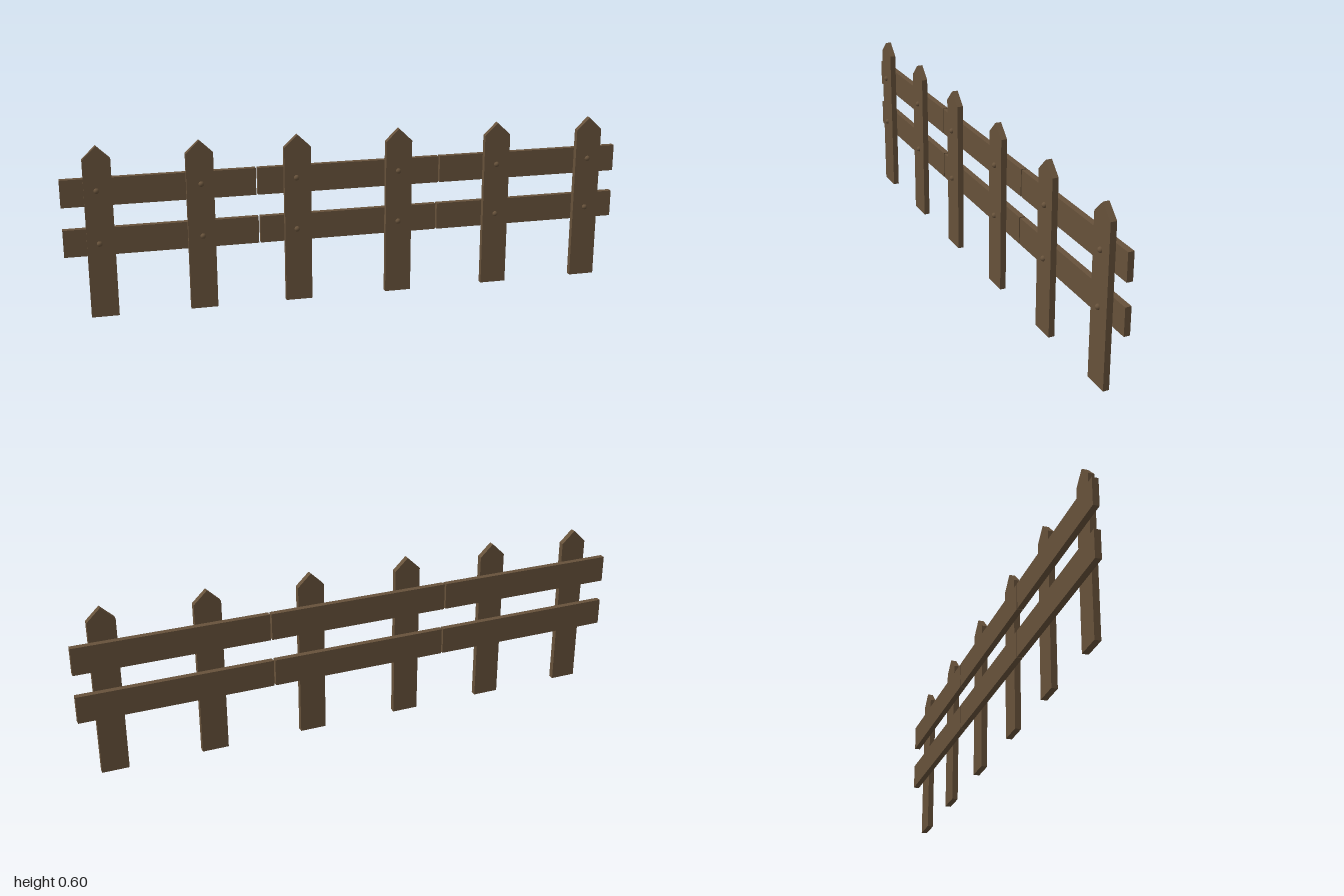
import * as THREE from 'three';

export function createModel() {
  const fence = new THREE.Group();
  fence.name = 'picketFence';
  const wood = new THREE.MeshStandardMaterial({ color: 0x66513a });
  wood.name = 'brown wood';

  const add = (name, geometry, x, y, z) => {
    const mesh = new THREE.Mesh(geometry, wood);
    mesh.name = name;
    mesh.position.set(x, y, z);
    fence.add(mesh);
  };

  // Pointed picket board, standing on y = 0
  const w = 0.047;
  const outline = new THREE.Shape([
    [-w, 0], [w, 0], [w, 0.557], [0, 0.602], [-w, 0.557],
  ].map(([x, y]) => new THREE.Vector2(x, y)));
  const picketGeo = new THREE.ExtrudeGeometry(outline, { depth: 0.021, bevelEnabled: false });
  const nailGeo = new THREE.SphereGeometry(0.0095, 16, 12);

  // Pickets with two round nail heads each: [picket x, nail x]
  const pickets = [
    [-0.875, -0.88], [-0.533, -0.53], [-0.195, -0.2],
    [0.169, 0.167], [0.535, 0.534], [0.888, 0.886],
  ];
  for (const [x, nailX] of pickets) {
    add('picket', picketGeo, x, 0, -0.004);
    for (const y of [0.264, 0.45]) add('nailHead', nailGeo, nailX, y, 0.0175);
  }

  // Two rails behind the pickets, each of three boards with narrow gaps
  const rails = [
    { name: 'upperRail', y: 0.4395, joints: [-0.335, 0.324] },
    { name: 'lowerRail', y: 0.264, joints: [-0.329, 0.316] },
  ];
  const gap = 0.006;
  for (const { name, y, joints } of rails) {
    const ends = [-1 - gap / 2, ...joints, 1 + gap / 2];
    for (let i = 0; i < 3; i++) {
      const length = ends[i + 1] - ends[i] - gap;
      add(name, new THREE.BoxGeometry(length, 0.096, 0.021), (ends[i] + ends[i + 1]) / 2, y, -0.0155);
    }
  }
  return fence;
}
